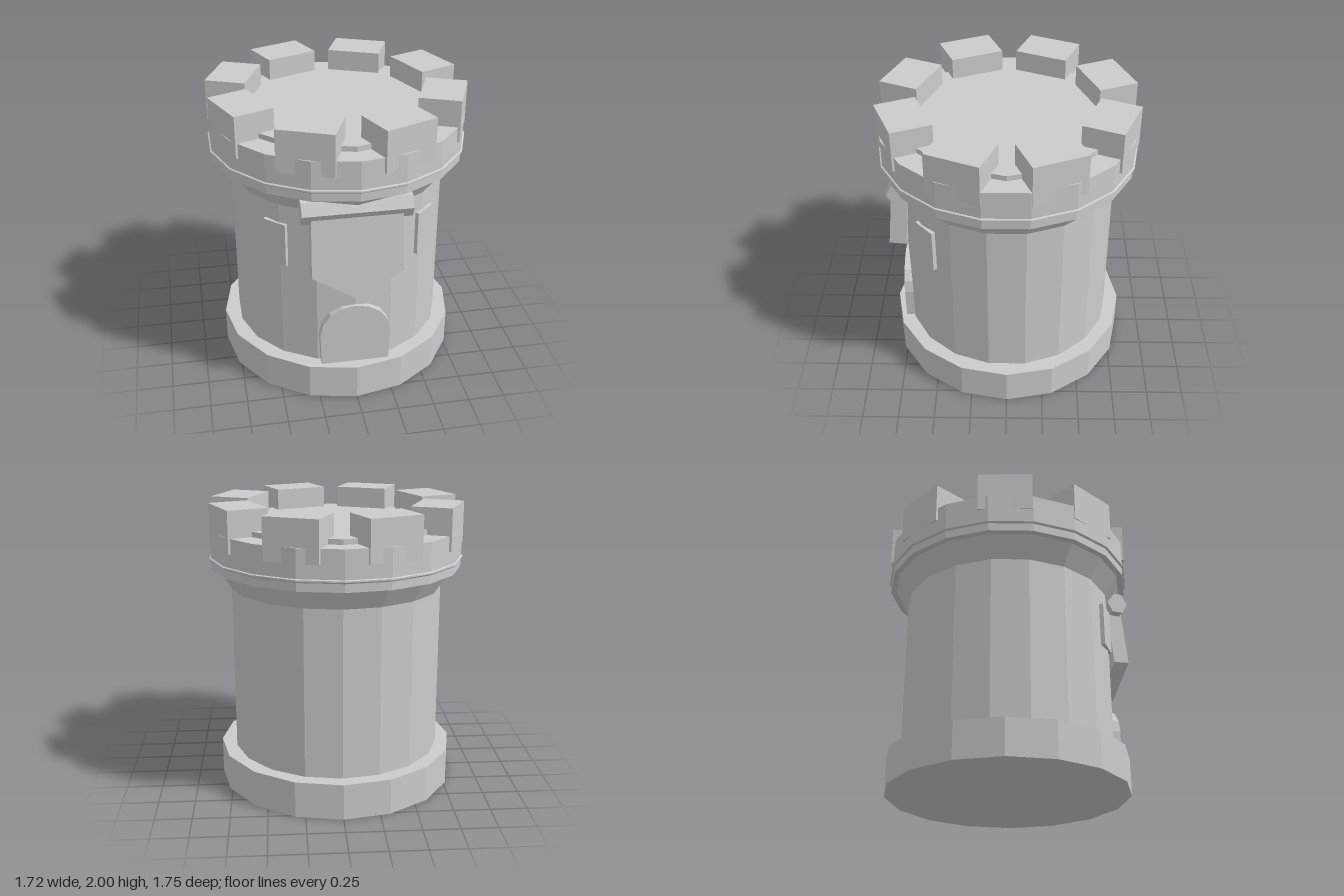
import * as THREE from 'three';

export function createModel() {
  const tower = new THREE.Group();
  tower.name = 'castleTower';
  const stone = new THREE.MeshStandardMaterial({ color: 0xcccccc, flatShading: true });
  stone.name = 'stone';

  const add = (name, geometry, x = 0, y = 0, z = 0) => {
    const mesh = new THREE.Mesh(geometry, stone);
    mesh.name = name;
    mesh.position.set(x, y, z);
    tower.add(mesh);
    return mesh;
  };
  const lathe = (points, sides) =>
    new THREE.LatheGeometry(points.map(([r, y]) => new THREE.Vector2(r, y)), sides);
  const plate = (points, depth) =>
    new THREE.ExtrudeGeometry(
      new THREE.Shape(points.map(([x, y]) => new THREE.Vector2(x, y))),
      { depth, bevelEnabled: false });

  // Foundation and round wall
  add('base', new THREE.CylinderGeometry(0.83, 0.83, 0.25, 16), 0, 0.125, 0);
  add('wall', lathe([[0.73, 0.2], [0.73, 1.41]], 18));

  // Flared corbel, thin lip, parapet and its flat top
  add('parapet', lathe([
    [0.73, 1.41], [0.82, 1.55], [0.862, 1.55], [0.862, 1.605],
    [0.875, 1.615], [0.875, 1.625], [0.865, 1.63], [0.865, 1.82], [0, 1.82],
  ], 18));
  add('roofFloor', new THREE.CylinderGeometry(0.73, 0.73, 0.055, 12), 0, 1.8275, 0);

  // Ring of eight battlements
  for (let i = 0; i < 8; i++) {
    const a = (i + 0.5) * Math.PI / 4;
    const block = add('battlement', new THREE.BoxGeometry(0.37, 0.28, 0.276),
      Math.sin(a) * 0.713, 1.86, Math.cos(a) * 0.713);
    block.rotation.y = a;
  }

  // Arched door
  const door = [[-0.23, 0.24], [0.23, 0.24]];
  for (let i = 0; i <= 8; i++) {
    const a = i * Math.PI / 8;
    door.push([Math.cos(a) * 0.24, 0.48 + Math.sin(a) * 0.225]);
  }
  add('door', plate(door, 0.15), 0, 0, 0.6);

  // Pair of window shutters
  for (const side of [1, -1]) {
    const a = side * 42.5 * Math.PI / 180;
    const shutter = add(side > 0 ? 'leftWindow' : 'rightWindow',
      new THREE.BoxGeometry(0.17, 0.31, 0.1),
      Math.sin(a) * 0.693, 1.125, Math.cos(a) * 0.693);
    shutter.rotation.y = a;
  }

  // Pointed banner leaning outwards, hung on a six-sided rod
  const banner = add('banner', plate([
    [-0.295, 0], [-0.3, -0.42], [0, -0.6], [0.3, -0.42], [0.295, 0],
  ], 0.115), 0, 1.4, 0.658);
  banner.rotation.x = -0.1;
  const rod = add('bannerRod', new THREE.CylinderGeometry(0.08, 0.08, 0.71, 6), 0, 1.435, 0.717);
  rod.rotation.z = Math.PI / 2;
  rod.scale.x = 1.08;

  return tower;
}
